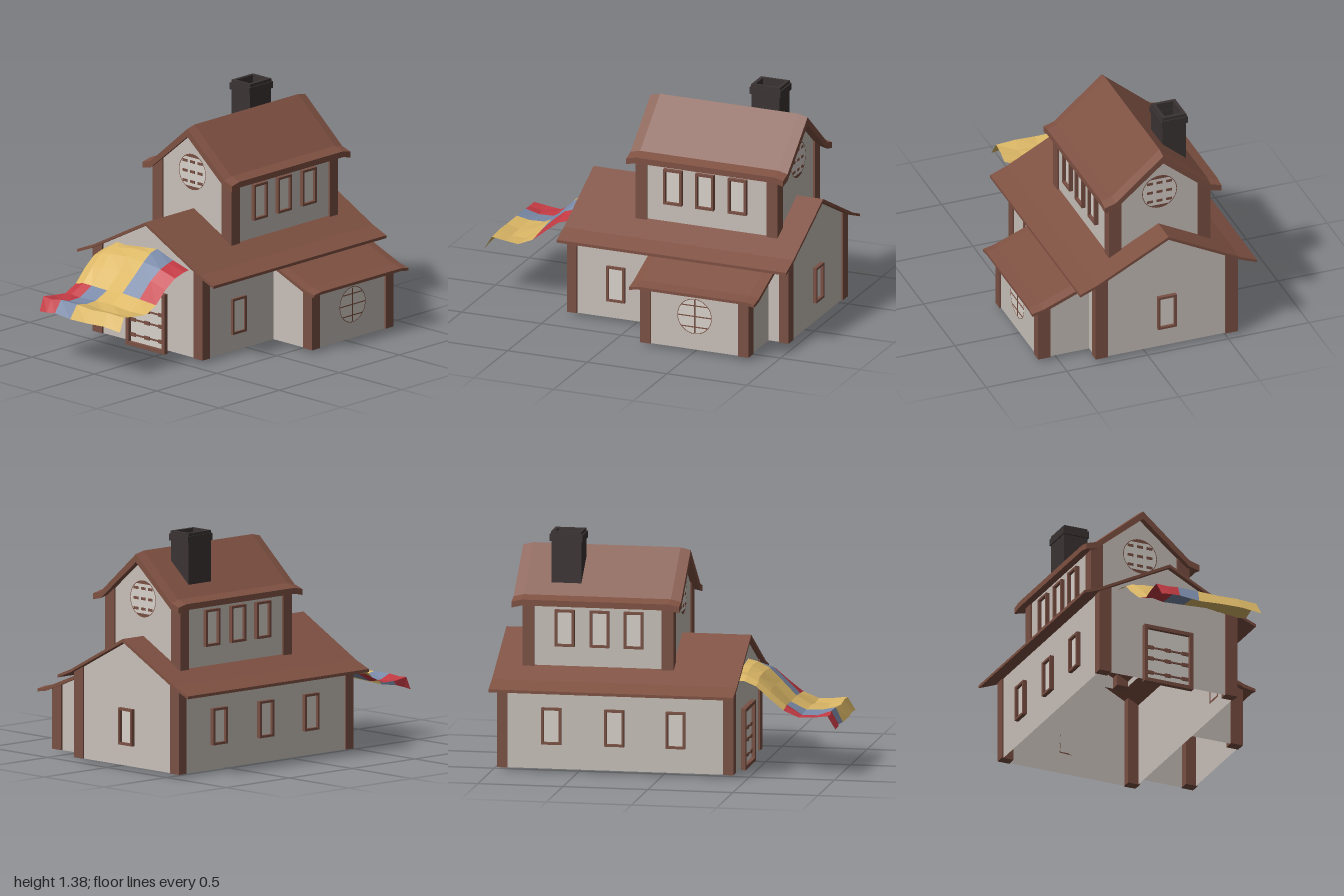
import * as THREE from 'three';

const mat = (name, color, double) => {
  const m = new THREE.MeshStandardMaterial({ color, side: double ? THREE.DoubleSide : THREE.FrontSide });
  m.name = name;
  return m;
};

export function createModel() {
  const model = new THREE.Group();
  model.name = 'house';
  const plaster = mat('plaster', 0xc8c0b9, true);
  const timber = mat('timber', 0x7a5043);
  const tile = mat('roofTile', 0x7f5142);
  const glass = mat('paleGlass', 0xd8d1ca, true);
  const brick = mat('darkBrick', 0x3b3333);
  const cloths = [mat('yellowCloth', 0xdbb766, true), mat('blueCloth', 0x7a8aa8, true), mat('redCloth', 0xc23a43, true)];
  cloths.forEach((m) => { m.flatShading = true; });

  const add = (name, geo, material, parent = model) => {
    const mesh = new THREE.Mesh(geo, material);
    mesh.name = name;
    parent.add(mesh);
    return mesh;
  };
  const box = (name, x0, x1, y0, y1, z0, z1, m, parent) => {
    const b = add(name, new THREE.BoxGeometry(x1 - x0, y1 - y0, z1 - z0), m, parent);
    b.position.set((x0 + x1) / 2, (y0 + y1) / 2, (z0 + z1) / 2);
    return b;
  };
  const shape = (pts) => new THREE.Shape(pts.map(([x, y]) => new THREE.Vector2(x, y)));
  const extrude = (s, depth, curveSegments = 32) =>
    new THREE.ExtrudeGeometry(s, { depth, bevelEnabled: false, curveSegments });

  // Walls: flat panels, open at the bottom
  const wallZ = (name, pts, z) => { add(name, new THREE.ShapeGeometry(shape(pts)), plaster).position.z = z; };
  const wallX = (name, x, y0, y1, z0, z1) => {
    const w = add(name, new THREE.PlaneGeometry(z1 - z0, y1 - y0), plaster);
    w.rotation.y = Math.PI / 2;
    w.position.set(x, (y0 + y1) / 2, (z0 + z1) / 2);
  };
  // Corner post with a sloped top
  const post = (name, xa, ya, xb, yb, y0, z0, z1) => {
    const p = xa < xb ? [[xa, y0], [xb, y0], [xb, yb], [xa, ya]] : [[xb, y0], [xa, y0], [xa, ya], [xb, yb]];
    add(name, extrude(shape(p), z1 - z0), timber).position.z = z0;
  };

  // Roof lofted along z from a profile of [x, top, bottom]; sections are [z, drop]
  const roof = (name, profile, sections) => {
    const v = [];
    const quad = (a, b, c, d) => v.push(...a, ...b, ...c, ...a, ...c, ...d);
    const T = (i, s) => [profile[i][0], profile[i][1] - s[1], s[0]];
    const B = (i, s) => [profile[i][0], profile[i][2] - s[1], s[0]];
    const n = profile.length - 1;
    const first = sections[0], last = sections[sections.length - 1];
    for (let k = 0; k < sections.length - 1; k++) {
      const s = sections[k], t = sections[k + 1];
      for (let i = 0; i < n; i++) {
        quad(T(i, s), T(i, t), T(i + 1, t), T(i + 1, s));
        quad(B(i, s), B(i + 1, s), B(i + 1, t), B(i, t));
      }
      quad(B(0, s), B(0, t), T(0, t), T(0, s));
      quad(B(n, t), B(n, s), T(n, s), T(n, t));
    }
    for (let i = 0; i < n; i++) {
      quad(B(i + 1, first), B(i, first), T(i, first), T(i + 1, first));
      quad(B(i, last), B(i + 1, last), T(i + 1, last), T(i, last));
    }
    const g = new THREE.BufferGeometry();
    g.setAttribute('position', new THREE.Float32BufferAttribute(v, 3));
    g.computeVertexNormals();
    add(name, g, tile);
  };
  const mirrored = (c, half) => [
    ...half.map(([d, t, b]) => [c - d, t, b]),
    ...half.slice(0, -1).reverse().map(([d, t, b]) => [c + d, t, b]),
  ];

  // Main storey
  const cx = -0.13;
  const gable = [[-0.56, 0.02], [0.3, 0.02], [0.3, 0.525], [cx, 0.752], [-0.56, 0.525]];
  wallZ('mainFrontWall', gable, 0.41);
  wallZ('mainBackWall', gable, -0.96);
  for (const s of [-1, 1]) {
    wallX('mainSideWall', cx + s * 0.43, 0.02, 0.525, -0.96, 0.41);
    for (const z of [0.36, -0.97]) post('mainPost', cx + s * 0.44, 0.525, cx + s * 0.365, 0.562, 0.02, z, z + 0.06);
  }
  roof('mainRoof', mirrored(cx, [[0.547, 0.495, 0.478], [0.44, 0.537, 0.52], [0, 0.767, 0.748]]),
    [[-1, 0], [0.44, 0]]);

  // Side annex
  const annex = [[0.3, 0.02], [0.61, 0.02], [0.61, 0.38], [0.3, 0.505]];
  wallZ('annexFrontWall', annex, -0.18);
  wallZ('annexBackWall', annex, -0.84);
  wallX('annexSideWall', 0.61, 0.02, 0.38, -0.84, -0.18);
  for (const z of [-0.235, -0.85]) post('annexPost', 0.62, 0.372, 0.545, 0.403, 0.02, z, z + 0.065);
  roof('annexRoof', [[0.34, 0.505, 0.485], [0.61, 0.398, 0.376], [0.68, 0.382, 0.365]],
    [[-0.91, 0.01], [-0.85, 0], [-0.18, 0], [-0.125, 0.01]]);

  // Upper storey
  const ux = -0.135;
  const upper = [[ux - 0.305, 0.56], [ux + 0.305, 0.56], [ux + 0.305, 0.965], [ux, 1.23], [ux - 0.305, 0.965]];
  wallZ('upperFrontWall', upper, 0.035);
  wallZ('upperBackWall', upper, -0.835);
  for (const s of [-1, 1]) {
    wallX('upperSideWall', ux + s * 0.305, 0.56, 0.975, -0.835, 0.035);
    for (const z of [-0.025, -0.845]) post('upperPost', ux + s * 0.315, 0.965, ux + s * 0.237, 1.02, 0.56, z, z + 0.07);
  }
  roof('upperRoof', mirrored(ux, [[0.36, 0.995, 0.96], [0.295, 1.015, 0.975], [0, 1.267, 1.22]]),
    [[-0.9, 0.014], [-0.84, 0], [0.025, 0], [0.085, 0.014]]);

  // Chimney: hollow shaft and stepped cap
  const tube = (name, x0, x1, z0, z1, y0, y1, t) => {
    const s = shape([[x0, -z1], [x1, -z1], [x1, -z0], [x0, -z0]]);
    s.holes.push(new THREE.Path([[x0 + t, -z1 + t], [x0 + t, -z0 - t], [x1 - t, -z0 - t], [x1 - t, -z1 + t]]
      .map(([a, b]) => new THREE.Vector2(a, b))));
    const m = add(name, extrude(s, y1 - y0), brick);
    m.rotation.x = -Math.PI / 2;
    m.position.y = y0;
  };
  tube('chimneyShaft', -0.358, -0.21, -0.692, -0.515, 0.98, 1.33, 0.022);
  tube('chimneyCap', -0.365, -0.203, -0.702, -0.506, 1.32, 1.36, 0.028);
  tube('chimneyRim', -0.358, -0.21, -0.694, -0.514, 1.36, 1.377, 0.021);
  box('chimneyFloor', -0.35, -0.22, 1.15, 1.16, -0.68, -0.53, brick);

  // Framed rectangular opening facing +z
  const framed = (name, w, h, t, depth) => {
    const g = new THREE.Group();
    g.name = name;
    const s = shape([[-w / 2, -h / 2], [w / 2, -h / 2], [w / 2, h / 2], [-w / 2, h / 2]]);
    const a = w / 2 - t, b = h / 2 - t;
    s.holes.push(new THREE.Path([[-a, -b], [-a, b], [a, b], [a, -b]].map(([x, y]) => new THREE.Vector2(x, y))));
    add('frame', extrude(s, depth), timber, g);
    add('pane', new THREE.PlaneGeometry(2 * a, 2 * b), glass, g).position.z = 0.006;
    model.add(g);
    return g;
  };
  const place = (g, x, y, z, turn) => { g.position.set(x, y, z); g.rotation.y = turn; };
  const R = Math.PI / 2;
  for (const z of [-0.19, -0.39, -0.595]) {
    for (const s of [-1, 1]) place(framed('upperWindow', 0.115, 0.215, 0.014, 0.024), ux + s * 0.305, 0.828, z, s * R);
  }
  for (const z of [-0.65, -0.28, 0.08]) place(framed('leftRowWindow', 0.115, 0.215, 0.014, 0.024), -0.56, 0.272, z, -R);
  place(framed('sideWindow', 0.115, 0.215, 0.014, 0.016), 0.3, 0.23, 0.115, R);
  place(framed('backWindow', 0.115, 0.215, 0.014, 0.024), cx, 0.25, -0.96, Math.PI);

  // Round windows with thin lattice plates
  const round = (name, lattice) => {
    const g = new THREE.Group();
    g.name = name;
    add('pane', new THREE.CircleGeometry(0.106, 32), glass, g).position.z = 0.005;
    add('rim', new THREE.RingGeometry(0.104, 0.108, 32), timber, g).position.z = 0.007;
    if (lattice) {
      for (const y of [-0.06, 0, 0.06]) {
        for (const x of [-0.06, 0, 0.06]) box('latticeKnot', x - 0.018, x + 0.018, y - 0.008, y + 0.008, 0.005, 0.008, timber, g);
      }
      for (const turn of [0, Math.PI]) {
        const chord = new THREE.Shape();
        chord.absarc(0, 0, 0.105, R - 0.6, R + 0.6, false);
        add('chord', new THREE.ShapeGeometry(chord), timber, g).rotation.z = turn;
        g.children[g.children.length - 1].position.z = 0.0075;
      }
    } else {
      for (const y of [-0.065, 0, 0.065]) {
        const w = Math.sqrt(0.104 ** 2 - y * y);
        box('crossBar', -w, w, y - 0.003, y + 0.003, 0.005, 0.008, timber, g);
      }
      box('uprightBar', -0.004, 0.004, -0.1, 0.1, 0.005, 0.008, timber, g);
    }
    model.add(g);
    return g;
  };
  place(round('frontRoundWindow', true), ux, 0.985, 0.035, 0);
  place(round('backRoundWindow', true), ux, 0.985, -0.835, Math.PI);
  place(round('annexRoundWindow', false), 0.61, 0.225, -0.51, R);

  // Front door with decorated cross rails
  const door = framed('frontDoor', 0.31, 0.36, 0.022, 0.028);
  place(door, -0.135, 0.18, 0.41, 0);
  for (const y of [-0.115, -0.025, 0.045]) {
    box('rail', -0.13, 0.13, y - 0.005, y + 0.005, 0.007, 0.012, timber, door);
    for (const x of [-0.11, 0, 0.11]) box('railKnot', x - 0.02, x + 0.02, y - 0.011, y + 0.011, 0.007, 0.013, timber, door);
  }

  // Patchwork cloth canopy: rows are [z, y, side sag]
  const rows = [[0.405, 0.605, 0.06], [0.46, 0.597, 0.06], [0.53, 0.565, 0.05], [0.6, 0.495, 0.03], [0.69, 0.402, 0.01],
    [0.78, 0.352, 0.005], [0.87, 0.348, 0], [0.95, 0.368, 0.005], [0.995, 0.292, 0]];
  const cols = [-0.45, -0.39, -0.325, -0.195, -0.06, 0.07, 0.19];
  const sag = [0.85, 0.3, 0.2, 0.05, -0.1, 0.45, 1.1];
  const at = (r, c) => [
    cols[c] + 0.008 * Math.sin(r * 1.7 + c),
    rows[r][1] - rows[r][2] * sag[c] + 0.006 * Math.sin(c * 2.1 + r * 1.3),
    rows[r][0] + (r ? 0.005 * Math.sin(c * 1.9) : 0),
  ];
  const patches = [[], [], []];
  for (let r = 0; r < rows.length - 1; r++) {
    for (let c = 0; c < cols.length - 1; c++) {
      const k = r < 4 ? [0, 0, 0, 0, 1, 2][c] : [2, 2, 1, 0, 0, 0][c];
      const [a, b, d, e] = [at(r, c), at(r + 1, c), at(r + 1, c + 1), at(r, c + 1)];
      patches[k].push(...a, ...b, ...d, ...a, ...d, ...e);
    }
  }
  patches.forEach((p, k) => {
    const g = new THREE.BufferGeometry();
    g.setAttribute('position', new THREE.Float32BufferAttribute(p, 3));
    g.computeVertexNormals();
    add('canopyCloth', g, cloths[k]);
  });
  return model;
}
